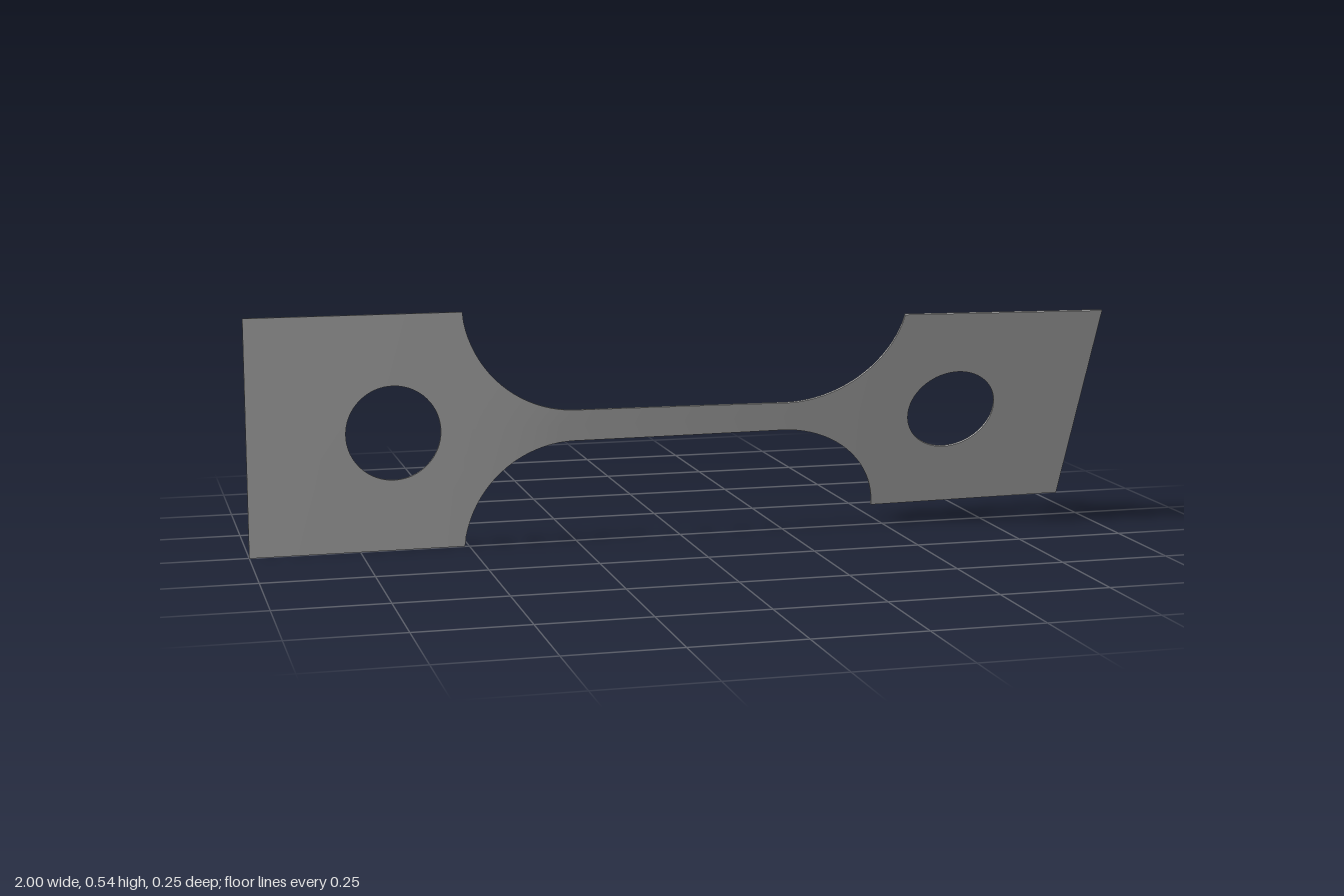
import * as THREE from 'three';
import { toCreasedNormals } from 'three/addons/utils/BufferGeometryUtils.js';

const TAB_H = 0.271, NECK_H = 0.0365, THICK = 0.005, TWIST = 0.463;
const TAB_X = 0.51, NECK_X = 0.25, FILLET_R = 0.262;
const HOLE_X = 0.67, HOLE_R = 0.108;

// Half height of the outline at x: wide tabs, round fillets, narrow neck
function outline(x) {
  const a = Math.abs(x);
  if (a >= TAB_X) return TAB_H;
  if (a <= NECK_X) return NECK_H;
  const d = a - NECK_X;
  return Math.min(TAB_H, NECK_H + FILLET_R - Math.sqrt(Math.max(0, FILLET_R ** 2 - d * d)));
}

// Half height of the round hole at x, zero outside it
function hole(x) {
  const d = Math.abs(x) - HOLE_X;
  return Math.abs(d) > HOLE_R - 1e-6 ? 0 : Math.sqrt(HOLE_R ** 2 - d * d);
}

// Stations along the plate, closer together on the curves
function stations() {
  const half = [];
  for (let i = 1; i <= 10; i++) half.push(NECK_X * i / 10);
  const end = Math.asin((TAB_X - NECK_X) / FILLET_R);
  for (let i = 1; i <= 20; i++) half.push(NECK_X + FILLET_R * Math.sin(end * i / 20));
  for (let i = 0; i <= 32; i++) half.push(HOLE_X - HOLE_R * Math.cos(Math.PI * i / 32));
  half.push(0.85, 0.92, 1);
  return [...half.map(x => -x).reverse(), 0, ...half];
}

// Twist angle per station: the narrow neck turns most, the tabs hardly at all
function twistAngles(xs) {
  const rate = x => (x < -TAB_X ? 0.4 : 1) / outline(x);
  const sum = [0];
  for (let i = 1; i < xs.length; i++) {
    sum.push(sum[i - 1] + (xs[i] - xs[i - 1]) * (rate(xs[i]) + rate(xs[i - 1])) / 2);
  }
  return sum.map(s => TWIST * s / sum[sum.length - 1]);
}

function plateGeometry() {
  const xs = stations(), angles = twistAngles(xs), pos = [];
  const point = (i, v, t) => {
    const c = Math.cos(angles[i]), s = Math.sin(angles[i]);
    return [xs[i], TAB_H + v * c - t * s, v * s + t * c];
  };
  const quad = (a, b, c, d, flip) => {
    const order = flip ? [a, c, b, a, d, c] : [a, b, c, a, c, d];
    order.forEach(p => pos.push(...p));
  };
  // Upper and lower halves, each a four-cornered section swept along x
  for (const side of [1, -1]) {
    const flip = side < 0, t = THICK / 2;
    const rings = xs.map((x, i) => {
      const inner = side * hole(x), outer = side * outline(x);
      return [point(i, inner, t), point(i, outer, t), point(i, outer, -t), point(i, inner, -t)];
    });
    for (let i = 0; i < rings.length - 1; i++) {
      const p = rings[i], q = rings[i + 1];
      const inHole = hole(xs[i]) > 0 || hole(xs[i + 1]) > 0;
      for (let k = 0; k < (inHole ? 4 : 3); k++) {
        const n = (k + 1) % 4;
        quad(p[k], q[k], q[n], p[n], flip);
      }
    }
    // End faces
    const first = rings[0], last = rings[rings.length - 1];
    quad(first[0], first[1], first[2], first[3], flip);
    quad(last[3], last[2], last[1], last[0], flip);
  }
  const geometry = new THREE.BufferGeometry();
  geometry.setAttribute('position', new THREE.Float32BufferAttribute(pos, 3));
  return toCreasedNormals(geometry, Math.PI / 6);
}

export function createModel() {
  const steel = new THREE.MeshStandardMaterial({ color: 0xb0b0b0 });
  steel.name = 'grey steel';
  const plate = new THREE.Mesh(plateGeometry(), steel);
  plate.name = 'twistedPlate';
  const group = new THREE.Group();
  group.name = 'twistedTestSpecimen';
  group.add(plate);
  return group;
}
